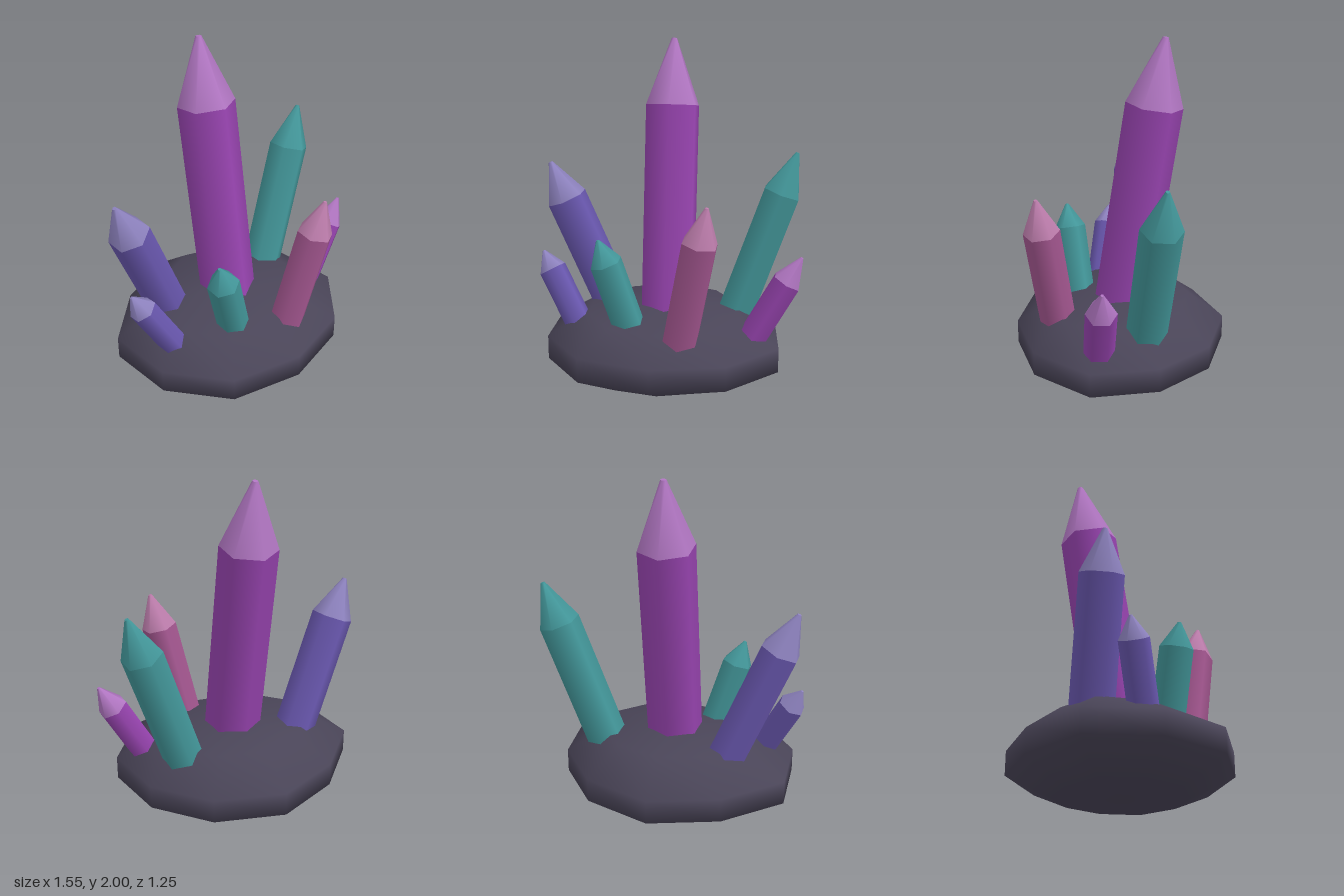
import * as THREE from 'three';
import { mergeVertices } from 'three/addons/utils/BufferGeometryUtils.js';

const mat = (name, color) => {
  const m = new THREE.MeshStandardMaterial({ color });
  m.name = name;
  return m;
};

// Squashed ten-sided boulder with slightly uneven corners
function makeRock(material) {
  const profile = [[0, 0.01], [0.39, 0.02], [0.65, 0.14], [0.65, 0.28], [0.43, 0.42], [0, 0.48]];
  const uneven = [0.96, 0.98, 1, 0.94, 0.94, 0.97, 0.94, 1.03, 1, 1];
  let geo = new THREE.LatheGeometry(profile.map(([r, y]) => new THREE.Vector2(r, y)), 10);
  const p = geo.attributes.position;
  for (let i = 0; i < p.count; i++) {
    const ring = i % profile.length;
    const k = Math.floor(i / profile.length) % 10;
    const x = p.getX(i) * uneven[k] * 1.1 - 0.025;
    const z = p.getZ(i) * uneven[k];
    let y = p.getY(i);
    if (ring === 1) y += 0.03 * x; // underside dips to one side
    if (ring === 4) y -= 0.06 * z; // top slopes to the front
    p.setXYZ(i, x, y, z);
  }
  geo.deleteAttribute('uv');
  geo.deleteAttribute('normal');
  geo = mergeVertices(geo, 1e-4);
  geo.computeVertexNormals();
  const rock = new THREE.Mesh(geo, material);
  rock.name = 'rockBase';
  return rock;
}

// Hexagonal prism with a pointed cap, rooted inside the rock
function makeCrystal({ name, root, shoulder, tip, r, colors }) {
  const a = new THREE.Vector3(...root);
  const b = new THREE.Vector3(...shoulder);
  const c = new THREE.Vector3(...tip);
  const dir = c.clone().sub(a).normalize();
  const sink = 0.14;
  const bodyLength = b.clone().sub(a).dot(dir) + sink;
  const tipLength = c.clone().sub(b).dot(dir);

  const crystal = new THREE.Group();
  crystal.name = name;
  const body = new THREE.Mesh(new THREE.CylinderGeometry(r, r, bodyLength, 6), colors[0]);
  body.name = name + 'Body';
  body.position.y = bodyLength / 2 - sink;
  const point = new THREE.Mesh(new THREE.CylinderGeometry(r * 0.1, r, tipLength, 6), colors[1]);
  point.name = name + 'Tip';
  point.position.y = bodyLength - sink + tipLength / 2;
  crystal.add(body, point);
  crystal.position.copy(a);
  crystal.quaternion.setFromUnitVectors(new THREE.Vector3(0, 1, 0), dir);
  return crystal;
}

export function createModel() {
  const purple = [mat('purple', 0x9844b0), mat('pale purple', 0xb176c2)];
  const indigo = [mat('indigo', 0x6a58b0), mat('pale indigo', 0x8d82be)];
  const pink = [mat('pink', 0xa65892), mat('pale pink', 0xbd7dac)];
  const tealMat = mat('teal', 0x43979a);
  const teal = [tealMat, tealMat];
  const rock = mat('dark rock', 0x4a4558);

  const crystals = [
    { name: 'mainCrystal', root: [-0.02, 0.45, -0.02], shoulder: [-0.02, 1.615, -0.195], tip: [-0.02, 2, -0.253], r: 0.167, colors: purple },
    { name: 'tallLeftCrystal', root: [0.375, 0.38, -0.13], shoulder: [0.633, 1.11, -0.18], tip: [0.718, 1.35, -0.2], r: 0.12, colors: teal },
    { name: 'shortLeftCrystal', root: [0.52, 0.365, 0.145], shoulder: [0.69, 0.665, 0.14], tip: [0.77, 0.81, 0.135], r: 0.088, colors: purple },
    { name: 'frontCrystal', root: [0.115, 0.38, 0.38], shoulder: [0.232, 0.955, 0.455], tip: [0.27, 1.16, 0.482], r: 0.106, colors: pink },
    { name: 'frontRightCrystal', root: [-0.215, 0.42, 0.25], shoulder: [-0.325, 0.775, 0.295], tip: [-0.367, 0.91, 0.312], r: 0.094, colors: teal },
    { name: 'tallRightCrystal', root: [-0.39, 0.42, -0.16], shoulder: [-0.655, 1.05, -0.115], tip: [-0.747, 1.27, -0.1], r: 0.122, colors: indigo },
    { name: 'shortRightCrystal', root: [-0.545, 0.35, 0.1], shoulder: [-0.708, 0.65, 0.05], tip: [-0.767, 0.755, 0.03], r: 0.082, colors: indigo },
  ];

  const model = new THREE.Group();
  model.name = 'crystalCluster';
  model.add(makeRock(rock), ...crystals.map(makeCrystal));
  return model;
}
